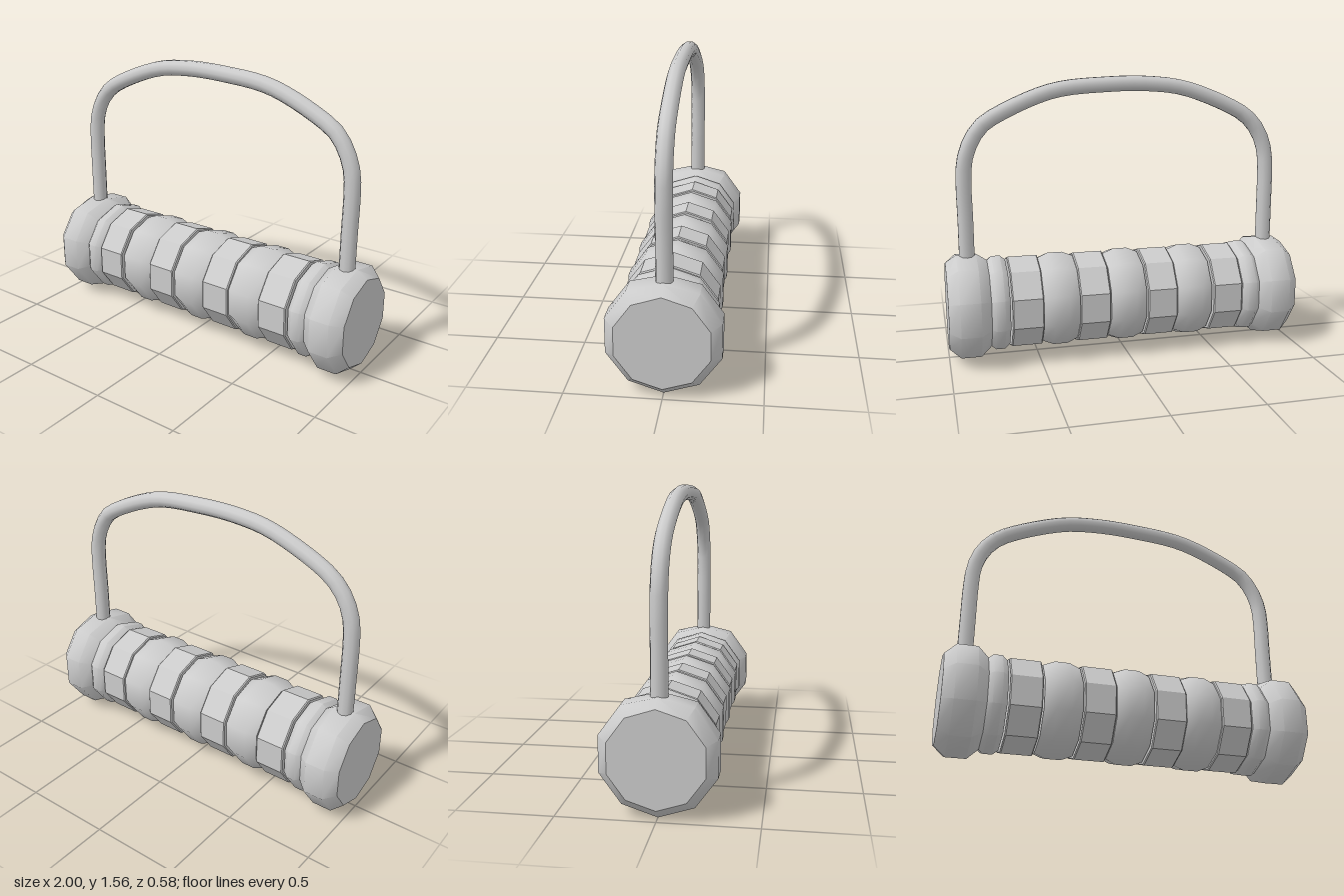
import * as THREE from 'three';
import { toCreasedNormals } from 'three/addons/utils/BufferGeometryUtils.js';

const AXIS_Y = 0.307; // height of the grip's axis
const SIDES = 10;
const TOP = 0.597; // flat seat where the handle enters the end caps

const smooth = new THREE.MeshStandardMaterial({ color: 0xcccccc });
const faceted = new THREE.MeshStandardMaterial({ color: 0xcccccc, flatShading: true });

// Closed ten-sided turned part along x; profile is [x, radius] with x ascending
function turned(name, profile, material) {
  const first = profile[0][0], last = profile[profile.length - 1][0];
  const points = [[first, 0], ...profile, [last, 0]].map(([x, r]) => new THREE.Vector2(r, x));
  const geo = new THREE.LatheGeometry(points, SIDES, Math.PI / 2);
  geo.rotateZ(-Math.PI / 2).translate(0, AXIS_Y, 0);
  const pos = geo.attributes.position;
  for (let i = 0; i < pos.count; i++) pos.setY(i, Math.min(pos.getY(i), TOP));
  const mesh = new THREE.Mesh(toCreasedNormals(geo, Math.PI / 4), material);
  mesh.name = name;
  return mesh;
}

// Profile of the other end
const mirrored = (profile) => profile.map(([x, r]) => [-x, r]).reverse();

// Chamfered profile from x0 to x1
const chamfered = (x0, x1, rEnd, rMid, bevel) =>
  [[x0, rEnd], [x0 + bevel, rMid], [x1 - bevel, rMid], [x1, rEnd]];

export function createModel() {
  const group = new THREE.Group();
  group.name = 'handledRoller';

  // End caps and the thin collars beside them
  const cap = chamfered(-1, -0.77, 0.25, 0.306, 0.06);
  const collar = chamfered(-0.777, -0.67, 0.247, 0.272, 0.03);
  group.add(
    turned('rightEndCap', cap, smooth),
    turned('leftEndCap', mirrored(cap), smooth),
    turned('rightCollar', collar, smooth),
    turned('leftCollar', mirrored(collar), smooth)
  );

  // Faceted rings
  for (const x of [-0.577, -0.187, 0.201, 0.575]) {
    group.add(turned('facetedRing', chamfered(x - 0.086, x + 0.086, 0.256, 0.262, 0.006), faceted));
  }

  // Rounded beads
  for (const x of [-0.38, 0.007, 0.388]) {
    group.add(turned('roundedBead', chamfered(x - 0.102, x + 0.102, 0.245, 0.271, 0.062), smooth));
  }

  // Bent handle rising from the end caps
  const path = new THREE.CatmullRomCurve3([
    [-0.884, 0.53], [-0.884, 0.8], [-0.883, 1.0], [-0.873, 1.12], [-0.838, 1.22],
    [-0.78, 1.3], [-0.7, 1.36], [-0.38, 1.49], [-0.17, 1.52], [0.08, 1.52],
    [0.39, 1.488], [0.7, 1.36], [0.78, 1.305], [0.838, 1.22], [0.873, 1.12],
    [0.882, 1.0], [0.88, 0.8], [0.88, 0.53],
  ].map(([x, y]) => new THREE.Vector3(x, y, 0)));
  const handle = new THREE.Mesh(new THREE.TubeGeometry(path, 48, 0.044, 10), smooth);
  handle.name = 'handle';
  group.add(handle);

  return group;
}
